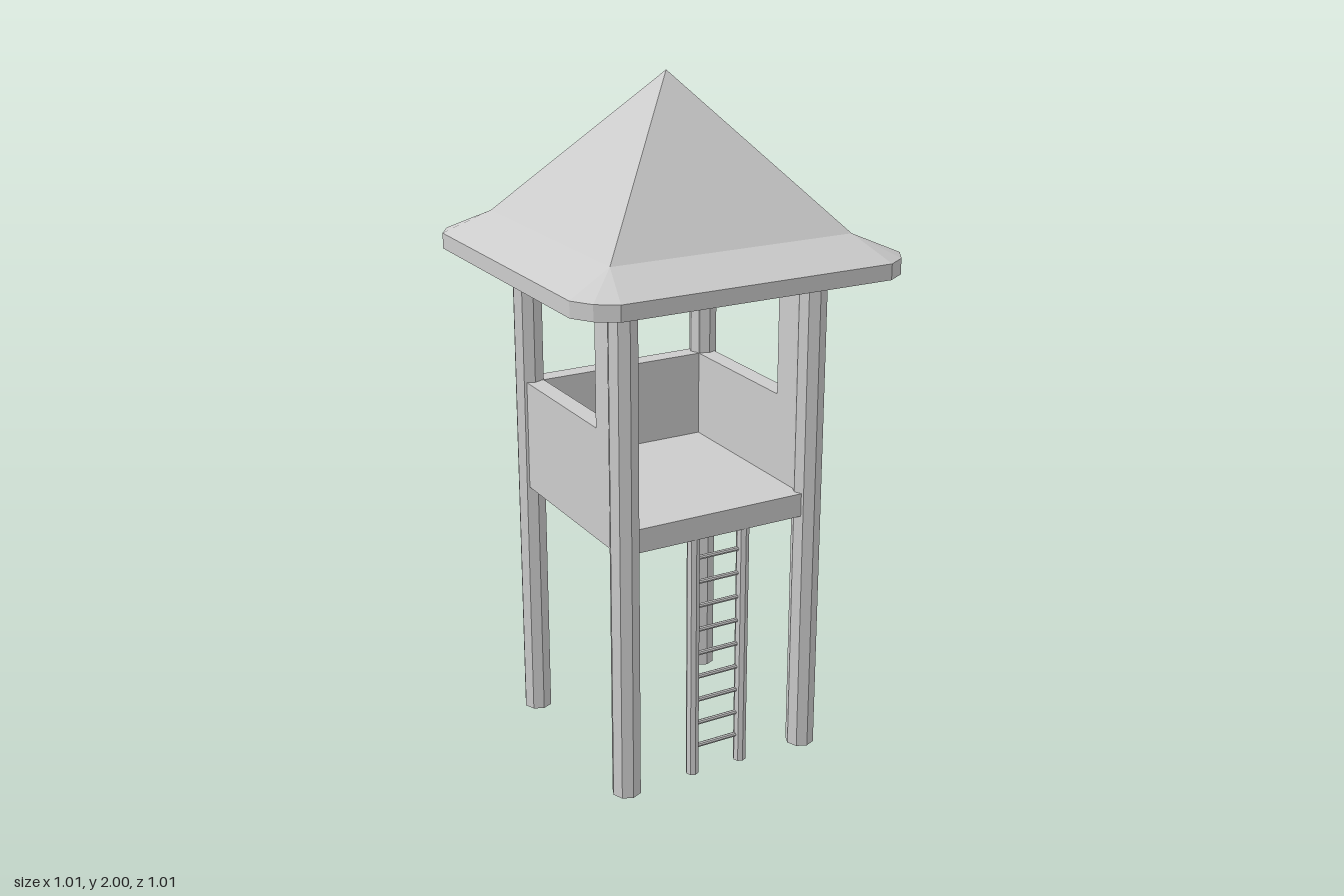
import * as THREE from 'three';

const mat = new THREE.MeshStandardMaterial({ color: 0xcccccc, flatShading: true });
const OUT = 0.32, IN = 0.265, BASE = 0.75, EAVE = 1.475, LEG = 0.297;

function add(parent, name, geometry, x = 0, y = 0, z = 0) {
  const mesh = new THREE.Mesh(geometry, mat);
  mesh.name = name;
  mesh.position.set(x, y, z);
  parent.add(mesh);
  return mesh;
}

// Box given by its lower and upper limits
function box(parent, name, [x0, y0, z0], [x1, y1, z1]) {
  return add(parent, name, new THREE.BoxGeometry(x1 - x0, y1 - y0, z1 - z0),
    (x0 + x1) / 2, (y0 + y1) / 2, (z0 + z1) / 2);
}

// Side wall with a window that runs back to the rear wall
function sideWallGeometry() {
  const rect = (P, z0, y0, z1, y1) =>
    new P([[z0, y0], [z1, y0], [z1, y1], [z0, y1]].map(p => new THREE.Vector2(...p)));
  const shape = rect(THREE.Shape, -OUT, BASE, OUT, EAVE);
  shape.holes.push(rect(THREE.Path, -IN, 1.08, 0.18, 1.4));
  return new THREE.ExtrudeGeometry(shape, { depth: OUT - IN, bevelEnabled: false }).rotateY(-Math.PI / 2);
}

// Twelve-point ring: each corner holds three points, turned by quarter turns
function ring(y, corner) {
  const points = [];
  for (let q = 0; q < 4; q++) {
    for (const [px, pz] of corner) {
      let x = px, z = pz;
      for (let k = 0; k < q; k++) [x, z] = [-z, x];
      points.push(new THREE.Vector3(x, y, z));
    }
  }
  return points;
}

// Flared pyramid roof on a slab with cut corners
function roofGeometry() {
  const eave = [[0.505, 0.41], [0.468, 0.468], [0.41, 0.505]];
  const same = r => [[r, r], [r, r], [r, r]];
  const rings = [
    ring(EAVE, same(0)), ring(EAVE, eave), ring(1.52, eave),
    ring(1.58, same(0.37)), ring(2, same(0)),
  ];
  const points = [];
  const tri = (a, b, c) => {
    if (new THREE.Triangle(a, b, c).getArea() > 1e-7) points.push(a, b, c);
  };
  for (let r = 0; r < rings.length - 1; r++) {
    const low = rings[r], up = rings[r + 1];
    for (let i = 0; i < 12; i++) {
      const j = (i + 1) % 12;
      tri(low[i], up[i], low[j]);
      tri(up[i], up[j], low[j]);
    }
  }
  const geometry = new THREE.BufferGeometry().setFromPoints(points);
  geometry.computeVertexNormals();
  return geometry;
}

export function createModel() {
  const model = new THREE.Group();
  model.name = 'watchtower';

  // Corner posts
  const post = new THREE.CylinderGeometry(0.0425, 0.0425, EAVE, 8);
  for (const x of [-LEG, LEG])
    for (const z of [-LEG, LEG]) add(model, 'cornerPost', post, x, EAVE / 2, z);

  // Cabin: open at the front
  const cabin = new THREE.Group();
  cabin.name = 'cabin';
  model.add(cabin);
  box(cabin, 'floor', [-IN, BASE, -IN], [IN, 0.82, OUT]);
  box(cabin, 'backWall', [-IN, BASE, -OUT], [IN, 1.08, -IN]);
  box(cabin, 'backLintel', [-IN, 1.4, -OUT], [IN, EAVE, -IN]);
  const wall = sideWallGeometry();
  add(cabin, 'leftWall', wall, OUT);
  add(cabin, 'rightWall', wall, -IN);

  add(model, 'roof', roofGeometry());

  // Ladder under the front edge of the floor
  const ladder = new THREE.Group();
  ladder.name = 'ladder';
  ladder.position.z = 0.3;
  model.add(ladder);
  const rail = new THREE.CylinderGeometry(0.019, 0.019, BASE, 8);
  for (const x of [-0.081, 0.081]) add(ladder, 'ladderRail', rail, x, BASE / 2);
  const rung = new THREE.CylinderGeometry(0.007, 0.007, 0.15, 8).rotateZ(Math.PI / 2);
  for (let i = 0; i < 9; i++) add(ladder, 'ladderRung', rung, 0, 0.085 + i * 0.075);

  return model;
}
